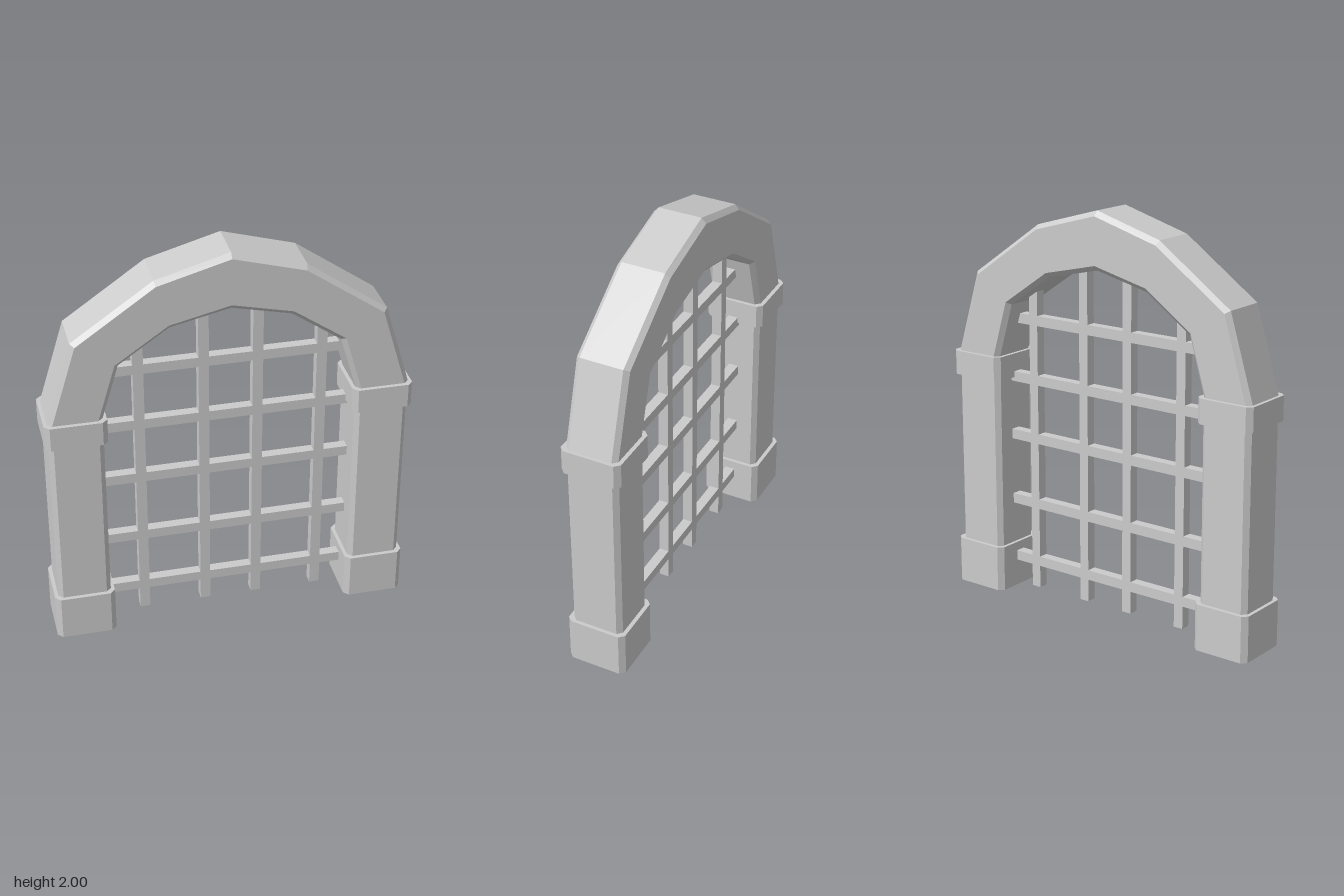
import * as THREE from 'three';

const material = new THREE.MeshStandardMaterial({
  color: 0xcccccc, flatShading: true, side: THREE.DoubleSide,
});

// Chamfered rectangle, counter-clockwise, as [u, v] pairs around the centre
function section(w, d, c) {
  const x = w / 2, z = d / 2;
  return [
    [x, -z + c], [x, z - c], [x - c, z], [-x + c, z],
    [-x, z - c], [-x, -z + c], [-x + c, -z], [x - c, -z],
  ];
}

// Open-ended faceted skin through a list of equally sized rings of points
function loft(rings) {
  const pos = [];
  for (let j = 0; j < rings.length - 1; j++) {
    const a = rings[j], b = rings[j + 1], n = a.length;
    for (let i = 0; i < n; i++) {
      const k = (i + 1) % n;
      for (const p of [a[i], a[k], b[k], a[i], b[k], b[i]]) pos.push(...p);
    }
  }
  const g = new THREE.BufferGeometry();
  g.setAttribute('position', new THREE.Float32BufferAttribute(pos, 3));
  g.computeVertexNormals();
  return g;
}

const ringAt = (outline, y) => outline.map(([u, v]) => [u, y, -v]);

function part(name, geometry) {
  const mesh = new THREE.Mesh(geometry, material);
  mesh.name = name;
  return mesh;
}

const SHAFT = section(0.26, 0.26, 0.023);
const BLOCK = section(0.295, 0.3, 0.025);

// Pillar: hollow base block, shaft and capital band
function pillar(name, x) {
  const g = new THREE.Group();
  g.name = name;
  g.add(
    part('pillarBase', loft([ringAt(BLOCK, 0), ringAt(BLOCK, 0.23), ringAt(SHAFT, 0.23)])),
    part('pillarShaft', loft([ringAt(SHAFT, 0.23), ringAt(SHAFT, 1.1)])),
    part('pillarCapital', loft([
      ringAt(SHAFT, 1.1), ringAt(BLOCK, 1.1), ringAt(BLOCK, 1.22), ringAt(SHAFT, 1.22),
    ])),
  );
  g.position.x = x;
  return g;
}

// Arch: the shaft section swept from pillar to pillar in six straight segments
function arch() {
  const half = [ // inner x, y, outer x, y
    [0.605, 1.22, 0.865, 1.22],
    [0.525, 1.49, 0.74, 1.63],
    [0.285, 1.655, 0.352, 1.9],
  ];
  const mirrored = half.map(([a, b, c, d]) => [-a, b, -c, d]).reverse();
  const stations = [...half, [0, 1.72, 0, 2], ...mirrored];
  return part('arch', loft(stations.map(([ix, iy, ox, oy]) =>
    SHAFT.map(([u, v]) => {
      const t = u / 0.26 + 0.5;
      return [ix + (ox - ix) * t, iy + (oy - iy) * t, -v];
    }))));
}

// Grille: square bars, the upright ones open at the foot
function grille() {
  const g = new THREE.Group();
  g.name = 'grille';
  const t = 0.05, h = t / 2;
  const square = [[h, -h], [h, h], [-h, h], [-h, -h]];
  const point = square.map(() => [0, 0]);
  for (const [x, top] of [[-0.42, 1.63], [-0.11, 1.74], [0.15, 1.74], [0.46, 1.6]]) {
    const bar = part('uprightBar', loft([ringAt(square, 0.02), ringAt(square, top), ringAt(point, top)]));
    bar.position.x = x;
    g.add(bar);
  }
  for (const y of [0.16, 0.465, 0.805, 1.105, 1.405]) {
    const bar = part('crossBar', new THREE.BoxGeometry(1.23, t, t));
    bar.position.y = y;
    g.add(bar);
  }
  return g;
}

export function createModel() {
  const model = new THREE.Group();
  model.name = 'gateway';
  model.add(pillar('leftPillar', 0.734), pillar('rightPillar', -0.734), arch(), grille());
  return model;
}
